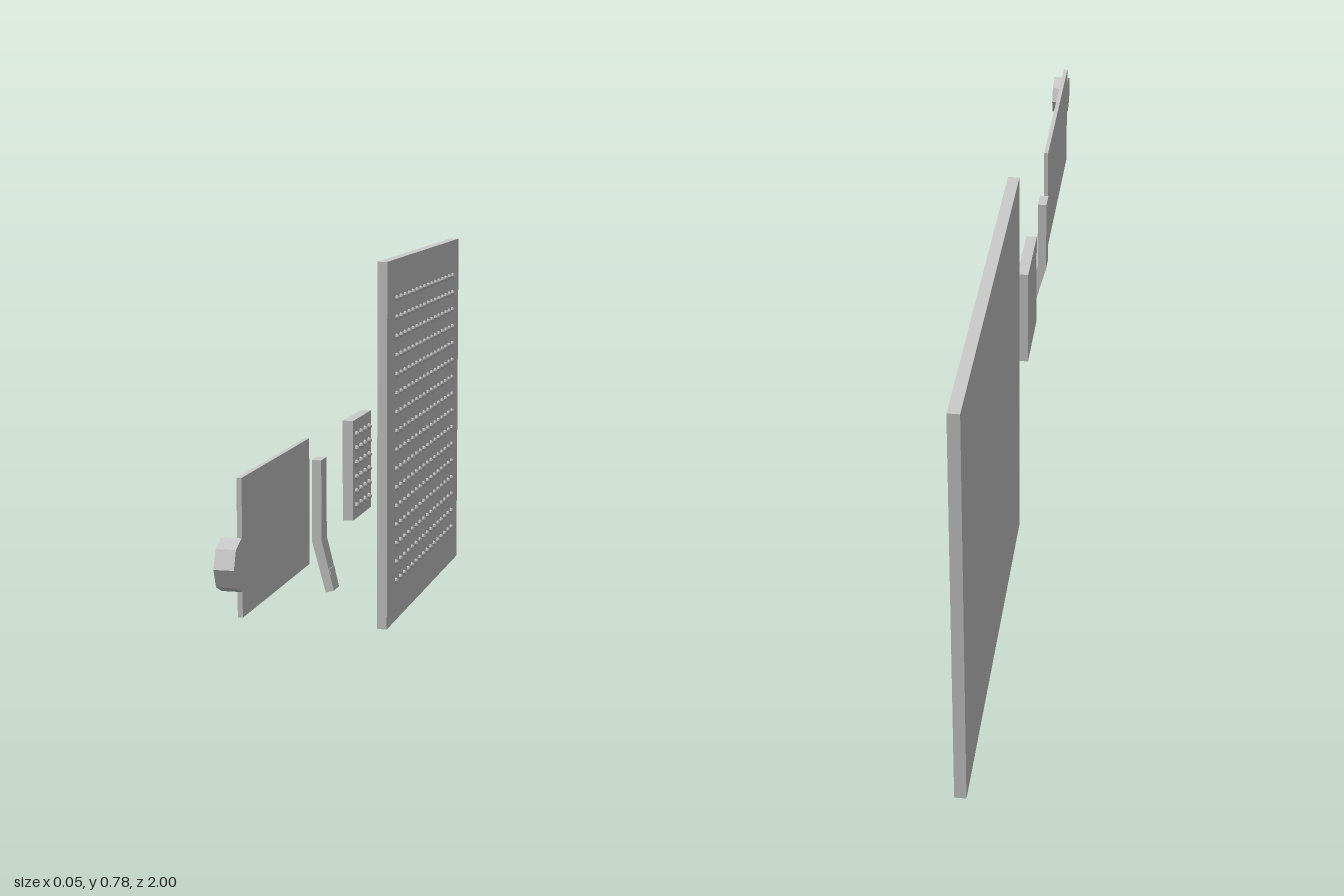
import * as THREE from 'three';
import { mergeGeometries } from 'three/addons/utils/BufferGeometryUtils.js';

const material = new THREE.MeshStandardMaterial({ color: 0xcccccc, flatShading: true });
const FACE = -0.007; // x of the plates' front face
const BACK = -0.028;

function addMesh(parent, name, geometry) {
  const mesh = new THREE.Mesh(geometry, material);
  mesh.name = name;
  parent.add(mesh);
  return mesh;
}

// Box given by its limits on each axis
function slab(parent, name, [x0, x1], [y0, y1], [z0, z1]) {
  const mesh = addMesh(parent, name, new THREE.BoxGeometry(x1 - x0, y1 - y0, z1 - z0));
  mesh.position.set((x0 + x1) / 2, (y0 + y1) / 2, (z0 + z1) / 2);
}

// Regular grid of small domed nozzles on a plate's front face
function nozzleGrid(parent, name, rows, cols, y, z, stepY, stepZ) {
  const nozzles = [];
  for (let r = 0; r < rows; r++) {
    for (let c = 0; c < cols; c++) {
      const dome = new THREE.SphereGeometry(0.0065, 8, 3, 0, Math.PI * 2, 0, Math.PI / 2);
      dome.rotateZ(-Math.PI / 2);
      dome.scale(1.2, 1, 1);
      dome.translate(FACE, y + (r - (rows - 1) / 2) * stepY, z + (c - (cols - 1) / 2) * stepZ);
      nozzles.push(dome);
    }
  }
  addMesh(parent, name, mergeGeometries(nozzles));
}

export function createModel() {
  const model = new THREE.Group();
  model.name = 'showerSet';

  // Large square shower head
  const head = new THREE.Group();
  head.name = 'showerHead';
  slab(head, 'headPlate', [BACK, FACE], [0, 0.778], [-1, -0.222]);
  nozzleGrid(head, 'headNozzles', 16, 16, 0.392, -0.611, 0.0405, 0.0407);

  // Small body jet
  const jet = new THREE.Group();
  jet.name = 'bodyJet';
  slab(jet, 'jetPlate', [BACK, FACE], [0.292, 0.49], [-0.075, 0.079]);
  nozzleGrid(jet, 'jetNozzles', 6, 4, 0.39, 0.004, 0.0284, 0.0355);

  // Bent hand shower, profile in x and y
  const hand = new THREE.Group();
  hand.name = 'handShower';
  const profile = new THREE.Shape([
    [-0.026, 0.452], [-0.026, 0.298], [0, 0.203],
    [0.0155, 0.207], [-0.008, 0.302], [-0.008, 0.452],
  ].map(([x, y]) => new THREE.Vector2(x, y)));
  const handle = addMesh(hand, 'handle',
    new THREE.ExtrudeGeometry(profile, { depth: 0.04, bevelEnabled: false }));
  handle.position.z = 0.285;
  // Narrow spray bar across the tip
  const bar = addMesh(hand, 'sprayBar', new THREE.BoxGeometry(0.004, 0.012, 0.034));
  bar.position.set(0.0065, 0.241, 0.305);
  bar.rotation.z = Math.atan2(0.0235, 0.095);

  // Thin control panel
  slab(model, 'controlPanel', [-0.0155, -0.007], [0.276, 0.507], [0.415, 0.843]);

  // Octagonal knob
  const knob = addMesh(model, 'knob', new THREE.CylinderGeometry(0.043, 0.043, 0.033, 8));
  knob.rotation.z = -Math.PI / 2;
  knob.position.set(0.0095, 0.389, 0.957);

  model.add(head, jet, hand);
  return model;
}
